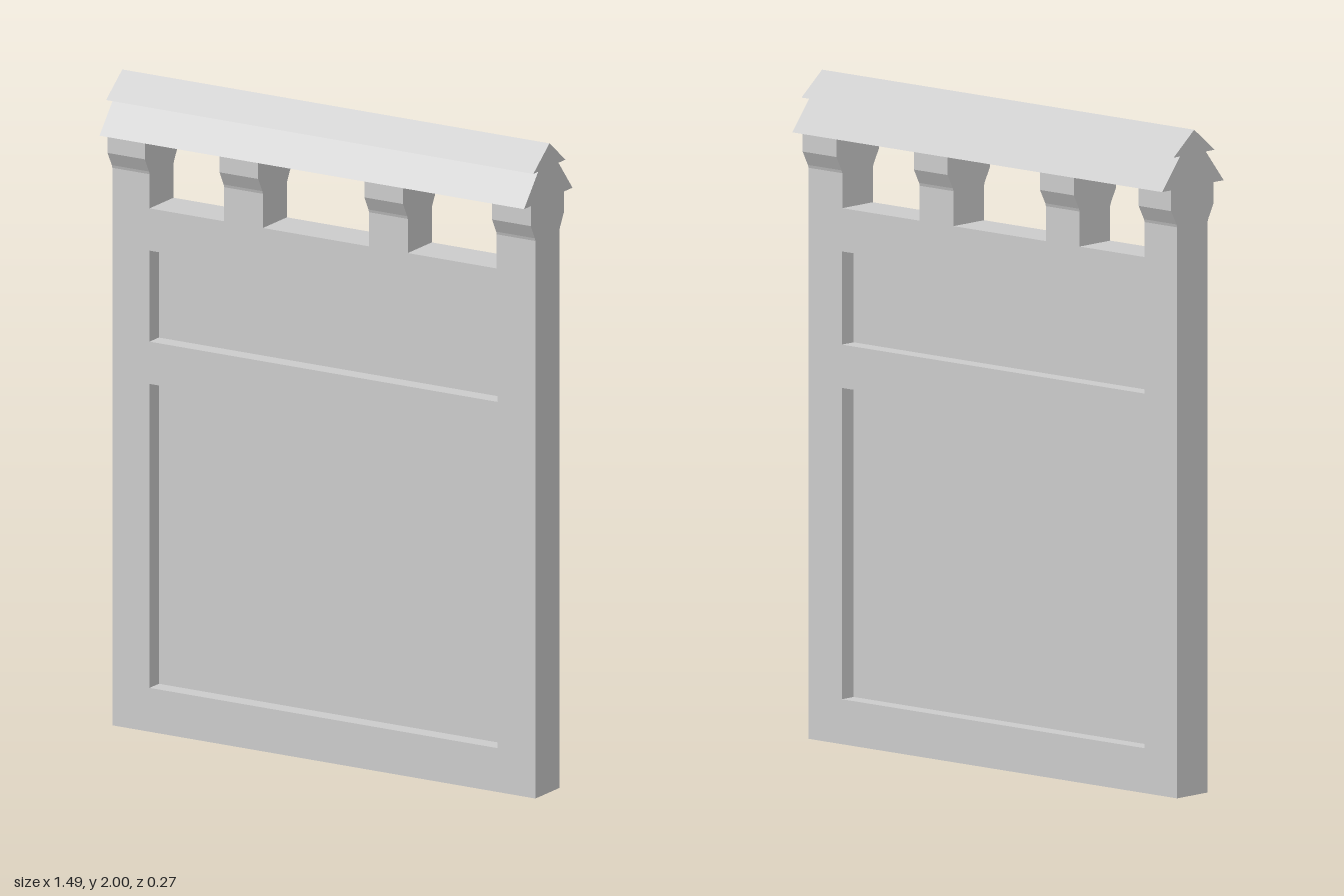
import * as THREE from 'three';

const material = new THREE.MeshStandardMaterial({ color: 0xcccccc, flatShading: true });
const HALF = 0.067; // half thickness of the wall
const LEFT = -0.74, RIGHT = 0.735;
const POSTS = [[LEFT, -0.61], [-0.35, -0.215], [0.155, 0.29], [0.6, RIGHT]];
const PANELS = [[0.135, 1.07], [1.2, 1.48]];
const SILL = 1.61, POST_TOP = 1.715;

function addMesh(group, name, geometry) {
  const mesh = new THREE.Mesh(geometry, material);
  mesh.name = name;
  group.add(mesh);
  return mesh;
}

// Mirrors a half profile of [z, y] points and sweeps it along x.
function sweepX(half, x0, x1) {
  const points = [...half, ...half.slice().reverse().map(([z, y]) => [-z, y])]
    .map(([z, y]) => new THREE.Vector2(z, y));
  const geometry = new THREE.ExtrudeGeometry(new THREE.Shape(points), { depth: x1 - x0, bevelEnabled: false });
  geometry.rotateY(Math.PI / 2);
  geometry.translate(x0, 0, 0);
  return geometry;
}

export function createModel() {
  const group = new THREE.Group();
  group.name = 'panelledWall';

  // Frame outline, with posts standing above the sill
  const frame = new THREE.Shape();
  frame.moveTo(LEFT, 0);
  frame.lineTo(RIGHT, 0);
  POSTS.slice().reverse().forEach(([a, b], i) => {
    if (i > 0) frame.lineTo(b, SILL);
    frame.lineTo(b, POST_TOP);
    frame.lineTo(a, POST_TOP);
    if (i < POSTS.length - 1) frame.lineTo(a, SILL);
  });
  frame.closePath();

  // Openings for the recessed panels
  for (const [y0, y1] of PANELS) {
    const hole = new THREE.Path();
    hole.moveTo(-0.61, y0);
    hole.lineTo(-0.61, y1);
    hole.lineTo(0.602, y1);
    hole.lineTo(0.602, y0);
    hole.closePath();
    frame.holes.push(hole);
  }
  const frameGeometry = new THREE.ExtrudeGeometry(frame, { depth: 2 * HALF, bevelEnabled: false });
  frameGeometry.translate(0, 0, -HALF);
  addMesh(group, 'frame', frameGeometry);

  // Thin panels set back from both faces
  PANELS.forEach(([y0, y1], i) => {
    const panel = addMesh(group, i ? 'upperPanel' : 'lowerPanel', new THREE.BoxGeometry(1.212, y1 - y0, 0.03));
    panel.position.set(-0.004, (y0 + y1) / 2, 0);
  });

  // Flared brackets on the posts
  const bracket = [[HALF, POST_TOP], [0.07, 1.724], [0.093, 1.767], [0.093, 1.83]];
  for (const [a, b] of POSTS) addMesh(group, 'bracket', sweepX(bracket, a, b));

  // Two-tier gabled coping
  addMesh(group, 'lowerRoof', sweepX([[0.135, 1.83], [0.055, 1.928]], -0.742, 0.738));
  addMesh(group, 'upperRoof', sweepX([[0.09, 1.928], [0, 2]], -0.747, 0.742));

  return group;
}
